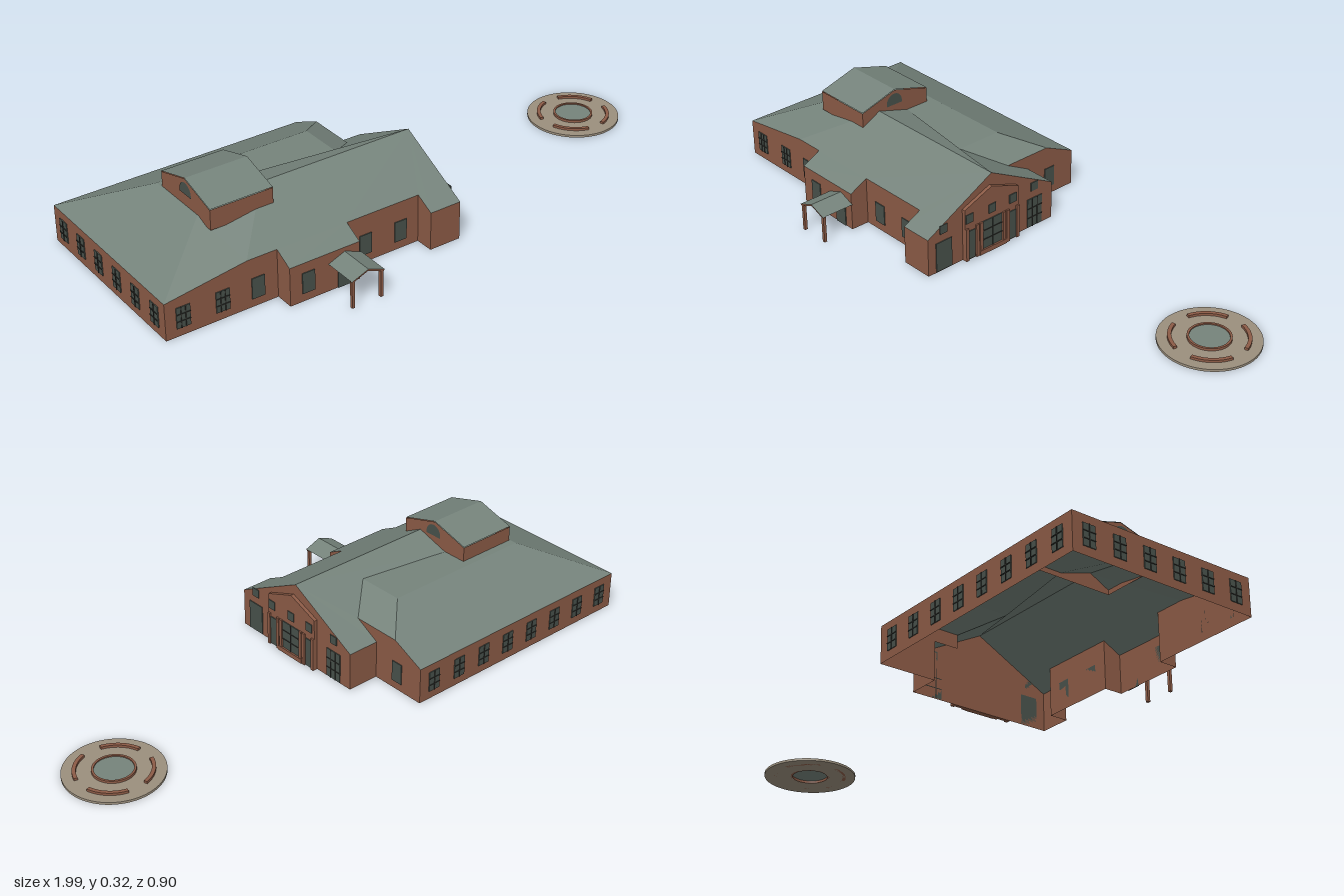
import * as THREE from 'three';

const material = (name, color, side = THREE.FrontSide) => {
  const m = new THREE.MeshStandardMaterial({ color, side });
  m.name = name;
  return m;
};

export function createModel() {
  const brick = material('brick', 0x8c5b46, THREE.DoubleSide);
  const slate = material('slate roof', 0x75837b, THREE.DoubleSide);
  const glass = material('dark glass', 0x48514b);
  const bars = material('glazing bars', 0x2f302c);
  const paving = material('paving', 0x9b8f7d);

  const model = new THREE.Group();
  // the building stands slightly turned
  const hall = new THREE.Group();
  hall.name = 'hall';
  hall.rotation.y = -0.096;
  model.add(hall);

  const add = (parent, name, geometry, mat, x = 0, y = 0, z = 0) => {
    const mesh = new THREE.Mesh(geometry, mat);
    mesh.name = name;
    mesh.position.set(x, y, z);
    parent.add(mesh);
    return mesh;
  };
  const box = (name, mat, x0, x1, y0, y1, z0, z1) => add(hall, name,
    new THREE.BoxGeometry(x1 - x0, y1 - y0, z1 - z0), mat, (x0 + x1) / 2, (y0 + y1) / 2, (z0 + z1) / 2);

  const soup = (positions) => {
    const g = new THREE.BufferGeometry();
    g.setAttribute('position', new THREE.Float32BufferAttribute(positions, 3));
    g.computeVertexNormals();
    return g;
  };
  // roof face from corners [x, z, y], triangulated in plan, facing up
  const roofFaces = (name, faces) => {
    const out = [];
    for (const face of faces) {
      const plan = face.map(([x, z]) => new THREE.Vector2(x, z));
      for (let [a, b, c] of THREE.ShapeUtils.triangulateShape(plan, [])) {
        const turn = (plan[b].x - plan[a].x) * (plan[c].y - plan[a].y) - (plan[b].y - plan[a].y) * (plan[c].x - plan[a].x);
        if (turn > 0) [b, c] = [c, b];
        for (const i of [a, b, c]) out.push(face[i][0], face[i][2], face[i][1]);
      }
    }
    return add(hall, name, soup(out), slate);
  };
  // upright wall below a run of top points [x, z, y]; the run has the outside on its left
  const wall = (name, run, base = 0) => {
    const out = [];
    for (let i = 0; i < run.length - 1; i++) {
      const [x0, z0, y0] = run[i], [x1, z1, y1] = run[i + 1];
      out.push(x0, base, z0, x0, y0, z0, x1, y1, z1, x0, base, z0, x1, y1, z1, x1, base, z1);
    }
    return add(hall, name, soup(out), brick);
  };

  // roof corners
  const A = [-0.975, -0.363, 0.125], B = [-0.085, -0.363, 0.125];
  const C = [-0.085, -0.247, 0.178], D = [-0.085, -0.075, 0.178];
  const E = [-0.2, -0.133, 0.232], F = [-0.2, 0.029, 0.232];
  const G = [-0.741, -0.133, 0.232], H = [-0.741, 0.1, 0.232];
  const I = [-0.52, 0.098, 0.268], J = [-0.52, -0.02, 0.232], R = [0.027, 0.098, 0.268];
  const W1 = [0.027, -0.163, 0.131], W2 = [-0.085, -0.163, 0.131];
  const step = [-0.085, -0.163, 0.178];
  const L = [-0.7, 0.297, 0.164], M = [-0.975, 0.297, 0.125];
  // stepped front eaves, from the east wing to the bay
  const eaves = [[0.027, 0.361, 0.131], [-0.085, 0.361, 0.131], [-0.085, 0.297, 0.164], [-0.35, 0.297, 0.164],
    [-0.35, 0.361, 0.131], [-0.597, 0.361, 0.131], [-0.597, 0.297, 0.164]];

  roofFaces('mainRoof', [
    [A, B, C, E, G], [C, D, F, E], [G, E, F, J, H], [A, G, H, M],
    [R, I, J, F, D, W2, W1], [I, H, J],
    [R, ...eaves, L, I], [I, L, H], [H, L, M],
  ]);
  wall('outerWalls', [A, B, C, step]);
  wall('upperEastWall', [step, D], 0.131);
  wall('wingAndFrontWalls', [W2, W1, R, ...eaves, L, M, A]);

  // roof lantern
  const cx0 = -0.7375, cx1 = -0.522, cz0 = -0.106, cz1 = 0.168, cm = 0.031, ce = 0.283, ct = 0.323;
  wall('lanternWalls', [[cx0, cz0, ce], [cx1, cz0, ce], [cx1, cm, ct], [cx1, cz1, ce],
    [cx0, cz1, ce], [cx0, cm, ct], [cx0, cz0, ce]], 0.215);
  roofFaces('lanternRoof', [
    [[cx0, cz0, ce + 0.002], [cx1, cz0, ce + 0.002], [cx1, cm, ct + 0.002], [cx0, cm, ct + 0.002]],
    [[cx0, cm, ct + 0.002], [cx1, cm, ct + 0.002], [cx1, cz1, ce + 0.002], [cx0, cz1, ce + 0.002]],
  ]);
  const arch = new THREE.Shape();
  arch.moveTo(-0.032, 0);
  arch.lineTo(0.032, 0);
  arch.lineTo(0.032, 0.008);
  arch.absarc(0, 0.008, 0.032, 0, Math.PI);
  for (const s of [1, -1]) {
    const w = add(hall, 'archedWindow', new THREE.ShapeGeometry(arch), glass, s > 0 ? cx1 + 0.002 : cx0 - 0.002, 0.271, cm + 0.004);
    w.rotation.y = s * Math.PI / 2;
  }

  // window plate on a wall; axis is the outward direction, at the wall position, mid the position along it
  const opening = (name, axis, at, mid, w, y0, y1, cols = 0, rows = 0) => {
    const s = axis[0] === '+' ? 1 : -1;
    const plate = (label, mat, m, half, a, b, depth) => {
      const lo = Math.min(at, at + s * depth), hi = Math.max(at, at + s * depth);
      if (axis[1] === 'x') box(label, mat, lo, hi, a, b, m - half, m + half);
      else box(label, mat, m - half, m + half, a, b, lo, hi);
    };
    plate(name, glass, mid, w / 2, y0, y1, 0.003);
    for (let i = 1; i < cols; i++) plate('glazingBar', bars, mid - w / 2 + (w * i) / cols, 0.0015, y0, y1, 0.005);
    for (let i = 1; i < rows; i++) {
      const y = y0 + ((y1 - y0) * i) / rows;
      plate('glazingBar', bars, mid, w / 2, y - 0.0015, y + 0.0015, 0.005);
    }
  };

  // front windows
  for (const x of [-0.916, -0.785]) opening('frontWindow', '+z', 0.297, x, 0.046, 0.028, 0.098, 3, 3);
  for (const x of [-0.665, -0.283, -0.152]) opening('frontWindow', '+z', 0.297, x, 0.044, 0.028, 0.098);
  opening('bayWindow', '+z', 0.361, -0.533, 0.044, 0.028, 0.098);
  opening('bayDoor', '+z', 0.361, -0.405, 0.048, 0.0, 0.098);
  // back and west windows
  for (let i = 0; i < 8; i++) opening('backWindow', '-z', -0.363, -0.915 + i * 0.11, 0.044, 0.028, 0.098, 2, 3);
  for (let i = 0; i < 6; i++) opening('westWindow', '-x', -0.975, -0.305 + i * 0.109, 0.044, 0.028, 0.098, 2, 3);
  opening('eastWindow', '+x', -0.085, -0.259, 0.042, 0.028, 0.1);

  // east gable: glazed openings beside the portico
  const gx = 0.027, px = 0.039;
  opening('sideGlazing', '+x', gx, 0.298, 0.064, 0.003, 0.106);
  opening('sideGlazing', '+x', gx, -0.086, 0.062, 0.003, 0.106, 3, 3);
  for (const z of [0.298, -0.085]) opening('upperWindow', '+x', gx, z, 0.03, 0.133, 0.163);

  // portico: shallow gabled block
  const pz0 = -0.006, pz1 = 0.22, pm = 0.107;
  const gable = new THREE.Shape([[-pz1, 0], [-pz0, 0], [-pz0, 0.185], [-pm, 0.229], [-pz1, 0.185]]
    .map(([x, y]) => new THREE.Vector2(x, y)));
  add(hall, 'portico', new THREE.ExtrudeGeometry(gable, { depth: px - gx, bevelEnabled: false }), brick, gx)
    .rotation.y = Math.PI / 2;
  opening('mainDoor', '+x', px, pm, 0.08, 0.017, 0.116, 2, 3);
  for (const z of [0.194, 0.02]) opening('porticoGlazing', '+x', px, z, 0.027, 0.003, 0.105);
  for (const z of [0.202, pm, 0.019]) opening('upperWindow', '+x', px, z, 0.03, 0.135, 0.166);
  for (const z of [0.214, 0.171, 0.155, 0.059, 0.043, 0.0]) box('pilaster', brick, px, px + 0.006, 0, 0.117, z - 0.006, z + 0.006);
  box('doorStep', brick, px, px + 0.008, 0, 0.016, 0.05, 0.165);

  // entrance canopy on two posts
  const k0 = -0.462, k1 = -0.345, km = -0.4035, kz0 = 0.361, kz1 = 0.479;
  roofFaces('canopyRoof', [
    [[k0, kz0, 0.094], [km, kz0, 0.117], [km, kz1, 0.117], [k0, kz1, 0.094]],
    [[km, kz0, 0.117], [k1, kz0, 0.094], [k1, kz1, 0.094], [km, kz1, 0.117]],
  ]);
  for (const s of [-1, 1]) {
    const x = km + s * 0.051;
    box('canopyPost', brick, x - 0.005, x + 0.005, 0, 0.094, 0.466, 0.476);
    const rafter = add(hall, 'canopyRafter', new THREE.BoxGeometry(0.062, 0.006, 0.006), brick, km + s * 0.029, 0.102, 0.474);
    rafter.rotation.z = -s * 0.375;
  }

  // round plaza with a pool and four curved benches
  const plaza = new THREE.Group();
  plaza.name = 'plaza';
  plaza.position.set(0.836, 0, 0.055);
  plaza.rotation.y = -0.096;
  model.add(plaza);
  const band = (name, mat, r0, r1, h, start = 0, sweep = Math.PI * 2) => {
    const shape = new THREE.Shape();
    const full = sweep > 6;
    shape.absarc(0, 0, r1, start, start + sweep);
    if (full) shape.holes.push(new THREE.Path().absarc(0, 0, r0, 0, Math.PI * 2, true));
    else shape.absarc(0, 0, r0, start + sweep, start, true);
    add(plaza, name, new THREE.ExtrudeGeometry(shape, { depth: h, bevelEnabled: false, curveSegments: full ? 40 : 12 }), mat)
      .rotation.x = -Math.PI / 2;
  };
  band('pavedRing', paving, 0.062, 0.157, 0.008);
  band('poolRim', brick, 0.06, 0.067, 0.016);
  for (let i = 0; i < 4; i++) band('curvedBench', brick, 0.112, 0.124, 0.016, Math.PI / 4 - 0.52 + i * Math.PI / 2, 1.04);
  add(plaza, 'pool', new THREE.CylinderGeometry(0.061, 0.061, 0.004, 40), slate, 0, 0.01, 0);

  return model;
}
